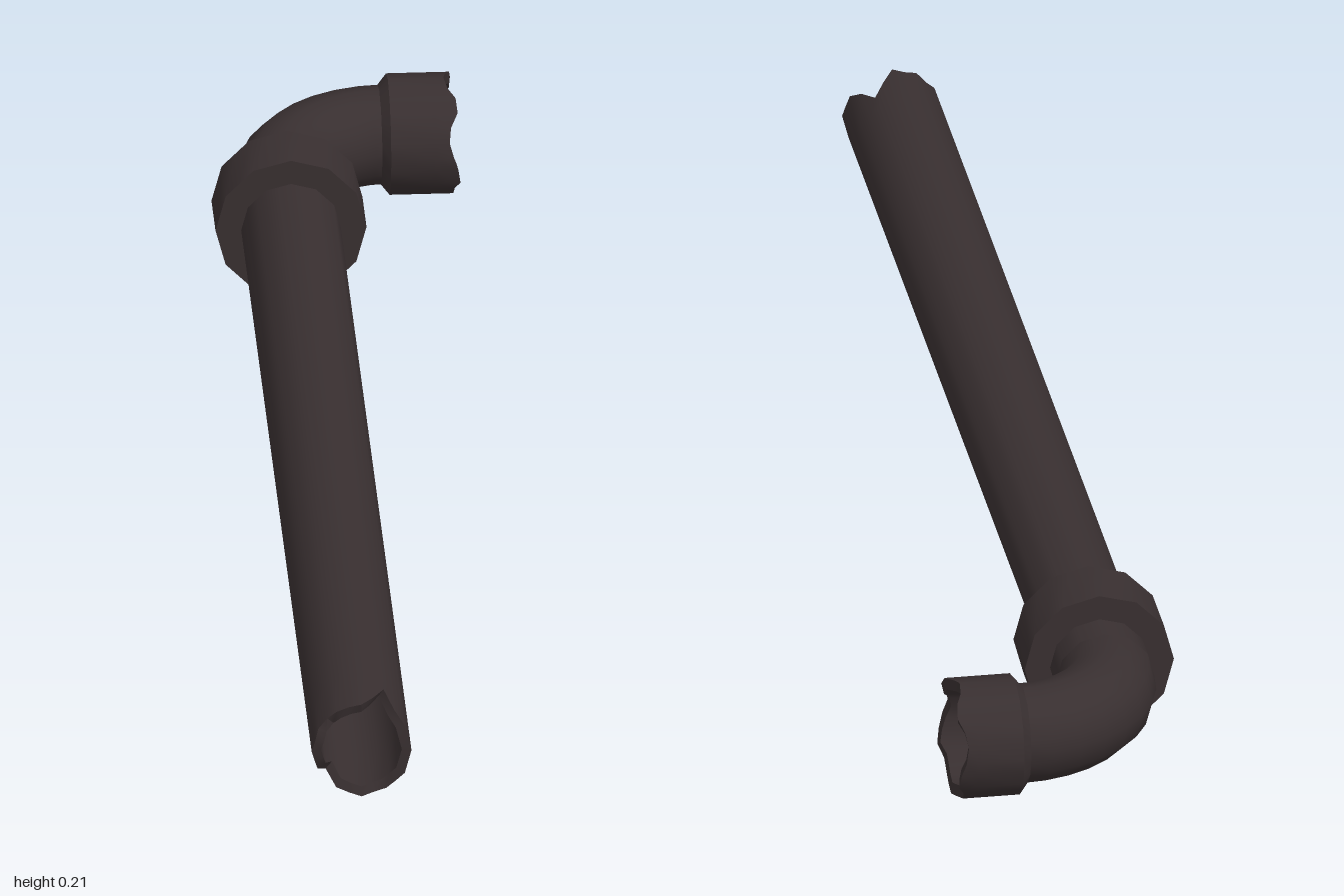
import * as THREE from 'three';
import { toCreasedNormals } from 'three/addons/utils/BufferGeometryUtils.js';

const SEG = 24, CX = -0.071, CY = 0.103, BEND = 0.146, BZ = -0.771;
const OUTER = 0.068, BORE = 0.055;

// One cross-section: a twelve-sided ring at (x, z), turned by angle t in plan,
// with optional chips that shift each point along the pipe.
function ring(x, z, t, r, chips) {
  const points = [];
  for (let j = 0; j < SEG; j++) {
    const a = (j / SEG) * Math.PI * 2;
    const rr = j % 2 ? r * Math.cos(Math.PI / 12) : r;
    const u = Math.cos(a) * rr, s = chips ? chips[j] : 0;
    points.push([
      x + u * Math.cos(t) + s * Math.sin(t),
      CY + Math.sin(a) * rr,
      z + u * Math.sin(t) - s * Math.cos(t),
    ]);
  }
  return points;
}

// Skin consecutive rings
function loft(rings) {
  const pos = [], idx = [];
  rings.forEach((r) => r.forEach((p) => pos.push(...p)));
  for (let i = 0; i < rings.length - 1; i++) {
    for (let j = 0; j < SEG; j++) {
      const k = (j + 1) % SEG;
      const a = i * SEG + j, b = i * SEG + k, c = a + SEG, d = b + SEG;
      idx.push(a, c, b, b, c, d);
    }
  }
  const g = new THREE.BufferGeometry();
  g.setAttribute('position', new THREE.Float32BufferAttribute(pos, 3));
  g.setIndex(idx);
  return toCreasedNormals(g, 0.65);
}

export function createModel() {
  const group = new THREE.Group();
  group.name = 'brokenPipe';
  const iron = new THREE.MeshStandardMaterial({ color: 0x382f30 });
  iron.name = 'darkIron';
  const add = (name, rings) => {
    const mesh = new THREE.Mesh(loft(rings), iron);
    mesh.name = name;
    group.add(mesh);
  };
  const along = (z, r, chips) => ring(CX, z, 0, r, chips);
  const across = (x, r, chips) => ring(x, BZ - BEND, Math.PI / 2, r, chips);

  // Long hollow pipe with a chipped front end
  const frontChips = [0, 0.004, 0.01, 0.03, 0.07, 0.035, 0.006, 0.008, 0.004, 0.01, 0.004, 0,
    0.004, 0.008, 0.02, 0.045, 0.012, 0.004, 0, 0.004, 0.006, 0.002, 0, 0];
  add('longPipe', [
    along(BZ, BORE), along(0.9, BORE), along(0.996, BORE, frontChips),
    along(1, OUTER, frontChips), along(0.9, OUTER), along(BZ, OUTER),
  ]);

  // Joint collar around the pipe
  add('jointCollar', [
    along(-0.63, OUTER - 0.002), along(-0.63, 0.103),
    along(-0.724, 0.103), along(-0.724, OUTER - 0.002),
  ]);

  // Quarter-turn elbow, outer skin and bore
  const bend = (r) => {
    const rings = [];
    for (let i = 0; i <= 8; i++) {
      const t = (i / 8) * Math.PI / 2;
      rings.push(ring(CX + BEND - BEND * Math.cos(t), BZ - BEND * Math.sin(t), t, r));
    }
    return rings;
  };
  add('elbow', bend(OUTER));
  add('elbowBore', bend(BORE).reverse());

  // Wider socket with a broken mouth
  const mouthChips = [0.002, -0.004, -0.002, 0.008, 0.006, -0.004, -0.008, -0.006, 0.002, 0.004,
    -0.004, -0.008, -0.004, 0.002, 0.004, -0.004, -0.006, 0, 0.004, 0.004, 0.003, 0.004, 0.011, 0.008];
  add('endSocket', [
    across(0.066, OUTER), across(0.078, 0.083), across(0.14, 0.083),
    across(0.162, 0.083, mouthChips), across(0.16, 0.067, mouthChips),
    across(0.1, 0.064), across(0.09, BORE), across(0.07, BORE),
  ]);
  return group;
}
